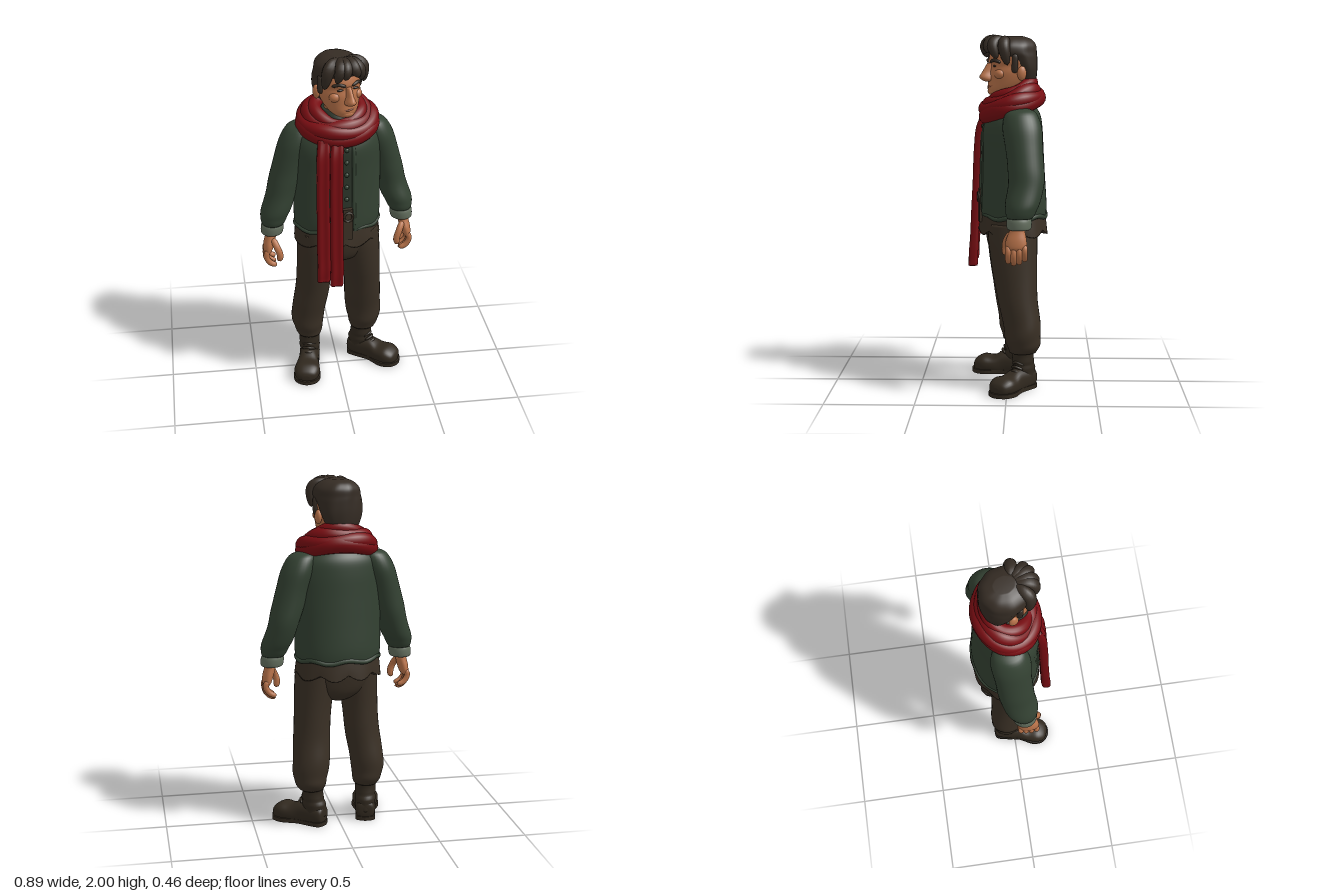
import * as THREE from 'three';
import { mergeVertices } from 'three/addons/utils/BufferGeometryUtils.js';

const spline = (a, b, c, d, t) =>
  b + 0.5 * t * (c - a + t * (2 * a - 5 * b + 4 * c - d + t * (3 * (b - c) + d - a)));

// Smooth skin through elliptical rings; each row is [x, y, z, rx, rz]
function loft(rows, { n = 32, steps = 5, p = 2, arc = null, bump = () => 1 } = {}) {
  rows = [...rows].sort((a, b) => a[1] - b[1]);
  const pos = [], idx = [], last = rows.length - 1, total = last * steps;
  const at = (i) => rows[Math.min(last, Math.max(0, i))];
  const [a0, a1] = arc || [0, Math.PI * 2], cols = arc ? n + 1 : n;
  const pw = (v) => Math.sign(v) * Math.abs(v) ** (2 / p);
  for (let r = 0; r <= total; r++) {
    const i = Math.min(last - 1, Math.floor(r / steps)), t = r / steps - i;
    const [x, y, z, rx, rz] = rows[0].map((_, k) => spline(at(i - 1)[k], at(i)[k], at(i + 1)[k], at(i + 2)[k], t));
    for (let k = 0; k < cols; k++) {
      const a = a0 + (a1 - a0) * k / n, s = bump(r / total, a);
      pos.push(x + rx * s * pw(Math.cos(a)), y, z + rz * s * pw(Math.sin(a)));
    }
  }
  for (let r = 0; r < total; r++) for (let k = 0; k < n; k++) {
    const a = r * cols + k, b = r * cols + (k + 1) % cols, c = a + cols, d = b + cols;
    idx.push(a, c, b, b, c, d);
  }
  if (!arc) {
    const base = pos.length / 3, top = total * cols;
    pos.push(...at(0).slice(0, 3), ...at(last).slice(0, 3));
    for (let k = 0; k < n; k++) {
      const k1 = (k + 1) % n;
      idx.push(base, k, k1, base + 1, top + k1, top + k);
    }
  }
  const g = new THREE.BufferGeometry();
  g.setAttribute('position', new THREE.Float32BufferAttribute(pos, 3));
  g.setIndex(idx);
  g.computeVertexNormals();
  return g;
}

// Tube along points with a radius that varies by rule
const rounded = (r) => (t) => r * Math.sqrt(Math.max(0, 1 - Math.abs(2 * t - 1) ** 6));
function sweep(points, radius, { seg = 20, n = 12, closed = false } = {}) {
  const curve = new THREE.CatmullRomCurve3(points.map((q) => new THREE.Vector3(...q)), closed);
  const g = new THREE.TubeGeometry(curve, seg, 1, n, closed);
  const P = g.attributes.position, v = new THREE.Vector3();
  for (let i = 0; i < P.count; i++) {
    const t = Math.floor(i / (n + 1)) / seg, c = curve.getPointAt(t);
    v.fromBufferAttribute(P, i).sub(c).multiplyScalar(radius(t)).add(c);
    P.setXYZ(i, v.x, v.y, v.z);
  }
  g.deleteAttribute('uv');
  g.deleteAttribute('normal');
  const m = mergeVertices(g, 1e-5);
  m.computeVertexNormals();
  return m;
}

export function createModel() {
  const model = new THREE.Group();
  const mat = (name, color, side = THREE.FrontSide) => {
    const m = new THREE.MeshStandardMaterial({ color, side });
    m.name = name;
    return m;
  };
  const skin = mat('skin', 0xb9734a), hair = mat('hair', 0x352c24), red = mat('scarf red', 0x780d12);
  const green = mat('jacket green', 0x334132, THREE.DoubleSide), shirt = mat('shirt dark green', 0x2a3328);
  const cuffGrey = mat('cuff grey', 0x626d5d), brown = mat('trouser brown', 0x3a3025);
  const leather = mat('boot leather', 0x31291f), lip = mat('lip', 0x8a4a32);
  const add = (name, geo, m, parent = model) => {
    const mesh = new THREE.Mesh(geo, m);
    mesh.name = name;
    parent.add(mesh);
    return mesh;
  };
  const group = (name, x, y, z, yaw) => {
    const g = new THREE.Group();
    g.name = name;
    g.position.set(x, y, z);
    g.rotation.y = yaw;
    model.add(g);
    return g;
  };
  const ball = (name, m, x, y, z, sx, sy, sz, parent) => {
    const b = add(name, new THREE.SphereGeometry(1, 20, 14), m, parent);
    b.position.set(x, y, z);
    b.scale.set(sx, sy, sz);
  };

  // Torso: closed shirt inside an open jacket
  const torso = group('torso', 0, 0, 0, 0.14);
  const body = [[0, 0.985, -0.03, 0.243, 0.187], [0, 1.05, -0.03, 0.25, 0.19], [0, 1.2, -0.028, 0.25, 0.182],
    [0, 1.35, -0.025, 0.25, 0.176], [0, 1.48, -0.022, 0.25, 0.172], [0, 1.56, -0.03, 0.225, 0.15],
    [0, 1.62, -0.03, 0.15, 0.11], [0, 1.66, -0.03, 0.1, 0.09]];
  add('shirt', loft(body.map(([x, y, z, a, b]) => [x, y, z, a - 0.014, b - 0.014])), shirt, torso);
  const folds = (t, a) => 1 + 0.012 * Math.sin(5 * a + 3 * t) * (1 - t);
  add('jacket', loft(body, { n: 56, arc: [1.66, 1.36 + Math.PI * 2], bump: folds }), green, torso);
  for (const a of [1.66, 1.36]) {
    const edge = body.slice(0, 6).map(([x, y, z, rx, rz]) => [x + rx * Math.cos(a), y, z + rz * Math.sin(a) - 0.004]);
    add('jacketEdge', sweep(edge, rounded(0.011)), green, torso);
  }
  const hemRing = [];
  for (let k = 0; k <= 30; k++) {
    const a = 1.66 + (Math.PI * 2 - 0.3) * k / 30, f = folds(0, a);
    hemRing.push([0.24 * f * Math.cos(a), 0.988 + 0.008 * Math.sin(7 * a), -0.03 + 0.184 * f * Math.sin(a)]);
  }
  add('jacketHem', sweep(hemRing, rounded(0.014), { seg: 80, n: 8 }), green, torso);
  for (let i = 0; i < 5; i++) ball('button', green, 0.012, 1.19 + i * 0.075, 0.143, 0.013, 0.013, 0.01, torso);
  const strap = add('beltEnd', new THREE.BoxGeometry(0.055, 0.19, 0.03), brown, torso);
  strap.position.set(0.015, 1.04, 0.153);
  const buckle = add('buckle', new THREE.TorusGeometry(0.026, 0.007, 8, 20), leather, torso);
  buckle.position.set(0.015, 1.09, 0.17);

  // Scalloped shirt tail below the jacket
  const tailGeo = loft([[0, 0.895, -0.03, 0.25, 0.195], [0, 0.94, -0.03, 0.246, 0.19], [0, 1.02, -0.03, 0.236, 0.178]],
    { n: 64, bump: (t, a) => 1 + 0.02 * Math.sin(9 * a) * (1 - t) });
  const tp = tailGeo.attributes.position;
  for (let i = 0; i < 64 * 11; i++) {
    const a = Math.atan2(tp.getZ(i) + 0.03, tp.getX(i)), f = (1.02 - tp.getY(i)) / 0.125;
    tp.setY(i, tp.getY(i) + f * 0.035 * (0.5 - Math.abs(Math.sin(4 * a))));
  }
  tailGeo.computeVertexNormals();
  add('shirtTail', tailGeo, brown, torso);
  add('pelvis', loft([[0, 0.74, -0.03, 0.06, 0.08], [0, 0.79, -0.025, 0.17, 0.13], [0, 0.87, -0.025, 0.232, 0.15],
    [0, 0.98, -0.03, 0.225, 0.16]]), brown);

  // Trouser legs with soft wrinkles gathering at the ankle
  const wrinkle = (t, a) => 1 + 0.03 * Math.sin(26 * t + 2 * Math.sin(a)) * (1 - t) ** 1.5 + 0.012 * Math.sin(3 * a + 8 * t);
  add('leftLeg', loft([[0.12, 0.95, -0.03, 0.115, 0.14], [0.13, 0.85, -0.03, 0.115, 0.138], [0.145, 0.7, -0.04, 0.108, 0.128],
    [0.155, 0.55, -0.055, 0.105, 0.115], [0.16, 0.42, -0.078, 0.108, 0.108], [0.167, 0.32, -0.088, 0.102, 0.103],
    [0.167, 0.26, -0.09, 0.092, 0.096], [0.163, 0.215, -0.09, 0.072, 0.076]], { bump: wrinkle }), brown);
  add('rightLeg', loft([[-0.12, 0.95, -0.01, 0.115, 0.138], [-0.125, 0.85, -0.005, 0.113, 0.132], [-0.135, 0.7, -0.01, 0.104, 0.12],
    [-0.145, 0.55, -0.022, 0.1, 0.11], [-0.165, 0.42, -0.036, 0.1, 0.103], [-0.177, 0.32, -0.043, 0.094, 0.098],
    [-0.172, 0.26, -0.045, 0.085, 0.09], [-0.168, 0.215, -0.043, 0.068, 0.073]], { bump: wrinkle }), brown);

  // Boots: upper, shaft, sole and laces
  for (const [name, x, z, yaw] of [['leftBoot', 0.155, -0.09, 0.92], ['rightBoot', -0.167, -0.04, -0.2]]) {
    const boot = group(name, x, 0, z, yaw);
    const upper = loft([[0, -0.078, -0.06, 0.02, 0.02], [0, -0.068, -0.06, 0.05, 0.05], [0, -0.02, -0.06, 0.06, 0.065],
      [0, 0.07, -0.055, 0.058, 0.07], [0, 0.13, -0.05, 0.07, 0.052], [0, 0.19, -0.052, 0.076, 0.052],
      [0, 0.235, -0.045, 0.056, 0.036], [0, 0.25, -0.04, 0.02, 0.015]], { p: 2.4 }).rotateX(Math.PI / 2);
    const up = upper.attributes.position;
    for (let i = 0; i < up.count; i++) up.setY(i, Math.max(0.012, up.getY(i)));
    upper.computeVertexNormals();
    add('upper', upper, leather, boot);
    add('shaft', loft([[0, 0.05, -0.012, 0.058, 0.066], [0, 0.12, -0.008, 0.06, 0.07], [0, 0.17, 0, 0.06, 0.062],
      [0, 0.25, 0, 0.066, 0.066]], { bump: (t) => 1 + 0.03 * Math.sin(22 * t) }), leather, boot);
    const outline = new THREE.Shape(new THREE.SplineCurve([[0, 0.085], [0.052, 0.065], [0.058, 0], [0.056, -0.08], [0.08, -0.17],
      [0.06, -0.235], [0, -0.262], [-0.06, -0.235], [-0.08, -0.17], [-0.056, -0.08], [-0.058, 0], [-0.052, 0.065], [0, 0.085]]
      .map((q) => new THREE.Vector2(...q))).getPoints(48));
    add('sole', new THREE.ExtrudeGeometry(outline, { depth: 0.024, bevelEnabled: false }).rotateX(-Math.PI / 2), leather, boot);
    for (let i = 0; i < 5; i++) {
      const y = 0.115 + i * 0.022, f = 0.1 - i * 0.012;
      add('lace', sweep([[-0.04, y - 0.012, f - 0.035], [0, y + 0.004, f - 0.012], [0.04, y - 0.012, f - 0.035]], rounded(0.008), { n: 8 }), leather, boot);
    }
  }

  // Arms, cuffs and hands; zs gives the depth at shoulder, elbow, wrist and hand
  for (const [side, s, zs] of [['left', 1, [-0.075, -0.112, -0.07, -0.055]], ['right', -1, [-0.035, -0.012, 0.03, 0.05]]]) {
    const depth = (y) => y > 1.22 ? THREE.MathUtils.mapLinear(y, 1.59, 1.22, zs[0], zs[1])
      : THREE.MathUtils.mapLinear(y, 1.22, 1.0, zs[1], zs[2]);
    const rows = [[0.19, 1.6, 0.03, 0.04], [0.205, 1.575, 0.075, 0.085], [0.232, 1.5, 0.093, 0.108], [0.265, 1.4, 0.09, 0.104],
      [0.293, 1.3, 0.09, 0.1], [0.32, 1.2, 0.085, 0.1], [0.352, 1.1, 0.084, 0.094], [0.37, 1.05, 0.076, 0.084], [0.374, 1.015, 0.062, 0.068]];
    add(side + 'Sleeve', loft(rows.map(([x, y, a, b]) => [s * x, y, depth(y), a, b]),
      { bump: (t, a) => 1 + 0.03 * Math.sin(30 * t + s * Math.cos(a)) * Math.max(0, 0.75 - t) }), green);
    add(side + 'Cuff', loft([[0.385, 0.955, 0.054, 0.058], [0.382, 0.965, 0.063, 0.067], [0.378, 1.005, 0.064, 0.068],
      [0.375, 1.03, 0.05, 0.055]].map(([x, y, a, b]) => [s * x, y, zs[2], a, b])), cuffGrey);
    const hand = group(side + 'Hand', 0, 0, zs[3], 0);
    add('palm', loft([[0.385, 1.0, -0.01, 0.03, 0.036], [0.39, 0.95, -0.005, 0.031, 0.042], [0.402, 0.9, 0, 0.031, 0.056],
      [0.41, 0.86, 0, 0.026, 0.058], [0.412, 0.84, 0, 0.015, 0.045]].map(([x, ...r]) => [s * x, ...r])), skin, hand);
    for (let i = 0; i < 4; i++) {
      const z = 0.044 - i * 0.03, l = [0, 0.012, 0.006, -0.012][i];
      add('finger', sweep([[s * 0.41, 0.875, z], [s * 0.422, 0.83 - l, z], [s * 0.4, 0.79 - l, z], [s * 0.362, 0.772 - l, z]], rounded(0.0165)), skin, hand);
    }
    add('thumb', sweep([[s * 0.385, 0.94, 0.025], [s * 0.36, 0.89, 0.055], [s * 0.345, 0.845, 0.062], [s * 0.35, 0.805, 0.06]], rounded(0.019)), skin, hand);
  }

  // Scarf: stacked tilted rolls around the neck; [rx, rz, front y, back y, radius]
  const rolls = [[0.185, 0.14, 1.553, 1.645, 0.05], [0.188, 0.146, 1.585, 1.665, 0.043], [0.155, 0.122, 1.605, 1.695, 0.045],
    [0.128, 0.108, 1.63, 1.73, 0.038]];
  rolls.forEach(([rx, rz, f, b, r], j) => {
    const pts = [];
    for (let k = 0; k < 16; k++) {
      const a = k / 16 * Math.PI * 2;
      pts.push([rx * Math.cos(a), (f + b) / 2 + (f - b) / 2 * Math.sin(a) + 0.006 * Math.sin(3 * a + j * 2), rz * Math.sin(a) - 0.022]);
    }
    add('scarfRoll', sweep(pts, (t) => r * (1 + 0.06 * Math.sin(Math.PI * 2 * (3 * t + j * 0.3))), { seg: 72, n: 18, closed: true }), red);
  });
  const groove = (t, a) => 1 - 0.3 * Math.exp(-(((a - 1.57) / 0.3) ** 2)) + 0.03 * Math.sin(30 * t + a);
  for (const [x, low, z] of [[-0.104, 0.71, 0], [-0.03, 0.68, 0.004]]) {
    add('scarfTail', loft([[x - 0.004, low, 0.2 + z, 0.036, 0.028], [x, low + 0.06, 0.197 + z, 0.037, 0.028],
      [x, 0.95, 0.186 + z, 0.037, 0.026], [x, 1.25, 0.172 + z, 0.036, 0.026], [x + 0.004, 1.45, 0.158 + z, 0.036, 0.028],
      [x + 0.012, 1.56, 0.125, 0.034, 0.03]], { p: 3, steps: 8, bump: groove }), red);
  }

  // Neck and collar
  add('neck', loft([[0, 1.58, -0.03, 0.08, 0.08], [0.005, 1.74, -0.02, 0.075, 0.08]]), skin);
  add('collar', loft([[0, 1.6, -0.015, 0.1, 0.1], [0.004, 1.655, -0.005, 0.102, 0.104], [0.006, 1.69, -0.02, 0.094, 0.09]]), shirt);

  // Head turned towards its left
  const head = group('head', 0, 0, -0.035, 0.34);
  add('face', loft([[0, 1.66, 0.085, 0.03, 0.035], [0, 1.672, 0.078, 0.056, 0.064], [0, 1.7, 0.06, 0.082, 0.093],
    [0, 1.74, 0.037, 0.103, 0.113], [0, 1.79, 0.02, 0.117, 0.128], [0, 1.83, 0.014, 0.116, 0.125], [0, 1.86, 0.012, 0.12, 0.134],
    [0, 1.92, 0.005, 0.112, 0.12], [0, 1.965, 0, 0.06, 0.07]], { n: 40 }), skin, head);
  add('nose', loft([[0, 1.742, 0.148, 0.014, 0.02], [0, 1.753, 0.155, 0.029, 0.036], [0, 1.77, 0.158, 0.028, 0.046],
    [0, 1.8, 0.15, 0.018, 0.036], [0, 1.845, 0.138, 0.015, 0.02]], { n: 20 }), skin, head);
  ball('chin', skin, 0, 1.688, 0.122, 0.042, 0.024, 0.032, head);
  add('mouth', sweep([[-0.045, 1.718, 0.134], [0, 1.714, 0.151], [0.048, 1.722, 0.134]], rounded(0.0055), { n: 8 }), lip, head);
  for (const s of [-1, 1]) {
    ball('ear', skin, s * 0.124, 1.79, -0.004, 0.018, 0.04, 0.027, head);
    ball('cheek', skin, s * 0.062, 1.785, 0.103, 0.036, 0.03, 0.032, head);
    ball('eye', hair, s * 0.046, 1.829, 0.131, 0.02, 0.006, 0.006, head);
    add('eyebrow', sweep([[s * 0.018, 1.85, 0.146], [s * 0.052, 1.862, 0.137], [s * 0.086, 1.85, 0.107]], rounded(0.009), { n: 8 }), hair, head);
    add('sideburn', sweep([[s * 0.118, 1.9, 0.035], [s * 0.118, 1.84, 0.035], [s * 0.113, 1.79, 0.035]], rounded(0.018), { n: 10 }), hair, head);
  }
  add('hairCap', loft([[0, 1.715, -0.06, 0.075, 0.045], [0, 1.75, -0.057, 0.1, 0.065], [0, 1.81, -0.045, 0.123, 0.084],
    [0, 1.87, -0.02, 0.131, 0.11], [0, 1.905, 0.006, 0.133, 0.135], [0, 1.945, 0.008, 0.124, 0.133],
    [0, 1.977, 0.005, 0.09, 0.104], [0, 1.994, 0.005, 0.045, 0.055]],
  { n: 48, bump: (t, a) => 1 + 0.014 * Math.sin(9 * a + 5 * t) }), hair, head);
  const taper = (t) => 0.034 * Math.sqrt(Math.max(0, Math.sin(Math.PI * Math.min(1, 0.15 + 0.85 * t))));
  for (const [x0, x1, z1, x2, y2, z2] of [[-0.01, -0.055, 0.15, -0.072, 1.875, 0.14], [-0.02, -0.1, 0.1, -0.12, 1.83, 0.085],
    [0.02, 0.062, 0.145, 0.085, 1.87, 0.13], [0.03, 0.105, 0.095, 0.122, 1.835, 0.08], [0, -0.022, 0.165, -0.035, 1.895, 0.165],
    [0.01, 0.03, 0.165, 0.05, 1.9, 0.16]]) {
    add('fringeLock', sweep([[x0, 1.965, 0.06], [x1 * 0.7, 1.965, z1 * 0.85], [x1, 1.94, z1], [x2, y2, z2]], taper), hair, head);
  }
  return model;
}
